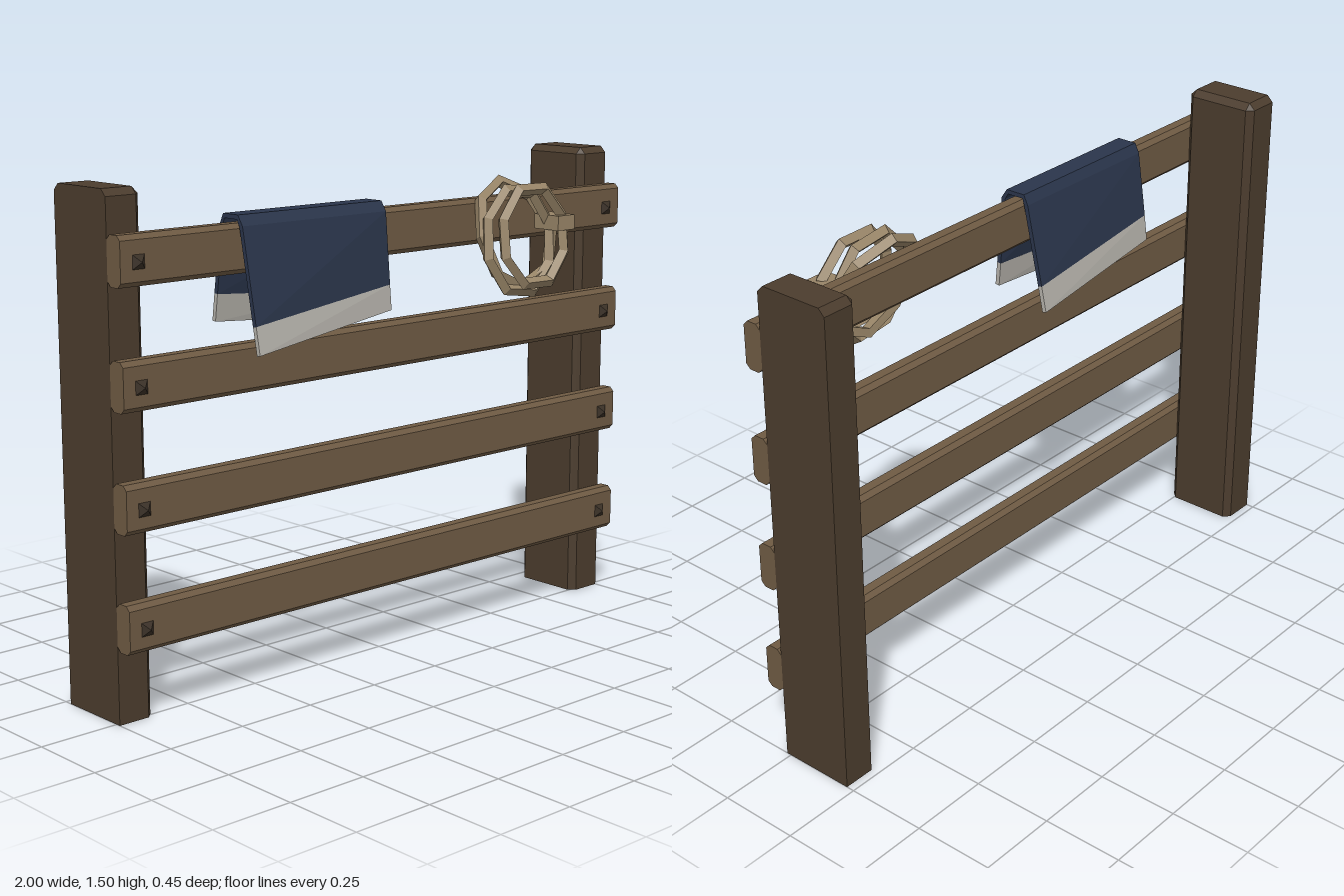
import * as THREE from 'three';
import { ConvexGeometry } from 'three/addons/geometries/ConvexGeometry.js';

const material = (name, color, side = THREE.FrontSide) =>
  new THREE.MeshStandardMaterial({ name, color, side });

function flat(geometry) {
  const g = geometry.index ? geometry.toNonIndexed() : geometry;
  g.computeVertexNormals();
  return g;
}

// Post with its inner vertical edges and top edges chamfered
function postGeometry(side) {
  const h = 0.12, c = 0.02, top = 1.5, zc = -0.105, pts = [];
  const add = (x, y, z) => pts.push(new THREE.Vector3(x * side, y, zc + z));
  for (const s of [-1, 1]) {
    for (const x of [1, 0.88 + c]) {
      add(x, 0, s * h);
      add(x, top - c, s * h);
      add(x, top, s * (h - c));
    }
    add(0.88, 0, s * (h - c));
    add(0.88, top - c, s * (h - c));
  }
  return new ConvexGeometry(pts);
}

// Rail with four chamfered long edges
function railGeometry(y, z) {
  const hy = 0.071, hz = 0.03, c = 0.014, pts = [];
  for (const x of [-1, 1]) for (const sy of [-1, 1]) for (const sz of [-1, 1]) {
    pts.push(new THREE.Vector3(x, y + sy * hy, z + sz * (hz - c)));
    pts.push(new THREE.Vector3(x, y + sy * (hy - c), z + sz * hz));
  }
  return new ConvexGeometry(pts);
}

// Thick cloth strip lofted between two [z, y] paths, one at each end
function clothGeometry(x0, path0, x1, path1, thickness) {
  const section = (path) => {
    const inner = path.map((p, i) => {
      const a = path[Math.max(i - 1, 0)], b = path[Math.min(i + 1, path.length - 1)];
      const dz = b[0] - a[0], dy = b[1] - a[1], l = Math.hypot(dz, dy);
      return [p[0] - dy / l * thickness, p[1] + dz / l * thickness];
    });
    return [path, inner];
  };
  const [o0, i0] = section(path0), [o1, i1] = section(path1);
  const pos = [];
  const quad = (xa, a, xb, b, xc, c, xd, d) => {
    const v = [[xa, a], [xb, b], [xc, c], [xa, a], [xc, c], [xd, d]];
    for (const [x, p] of v) pos.push(x, p[1], p[0]);
  };
  const n = path0.length;
  for (let i = 0; i < n - 1; i++) {
    quad(x0, o0[i], x1, o1[i], x1, o1[i + 1], x0, o0[i + 1]);
    quad(x1, i1[i], x0, i0[i], x0, i0[i + 1], x1, i1[i + 1]);
    quad(x1, o1[i], x1, i1[i], x1, i1[i + 1], x1, o1[i + 1]);
    quad(x0, i0[i], x0, o0[i], x0, o0[i + 1], x0, i0[i + 1]);
  }
  quad(x0, i0[0], x1, i1[0], x1, o1[0], x0, o0[0]);
  const e = n - 1;
  quad(x0, o0[e], x1, o1[e], x1, i1[e], x0, i0[e]);
  const g = new THREE.BufferGeometry();
  g.setAttribute('position', new THREE.Float32BufferAttribute(pos, 3));
  g.computeVertexNormals();
  return g;
}

// One coarse rope loop; depth(s) gives z for s from -1 (bottom) to 1 (top)
function ropeGeometry({ x, y, rx, ry, turn, sides, depth }) {
  const pts = [];
  for (let i = 0; i < sides; i++) {
    const a = Math.PI / 2 + turn + i / sides * Math.PI * 2;
    pts.push(new THREE.Vector3(x + rx * Math.cos(a), y + ry * Math.sin(a), depth(Math.sin(a))));
  }
  const curve = new THREE.CatmullRomCurve3(pts, true);
  return flat(new THREE.TubeGeometry(curve, sides, 0.02, 4, true));
}

export function createModel() {
  const postWood = material('dark post wood', 0x4b3c2d);
  const railWood = material('rail wood', 0x6e5a43);
  const iron = material('dark nail', 0x3a3026);
  const blue = material('blue cloth', 0x2a354b, THREE.DoubleSide);
  const pale = material('pale cloth border', 0xb4b1aa, THREE.DoubleSide);
  const rope = material('rope', 0x978467);

  const model = new THREE.Group();
  model.name = 'fence';
  const add = (name, geometry, mat, parent = model) => {
    const mesh = new THREE.Mesh(geometry, mat);
    mesh.name = name;
    parent.add(mesh);
    return mesh;
  };

  add('leftPost', postGeometry(1), postWood);
  add('rightPost', postGeometry(-1), postWood);

  // Rails with a pyramid nail at each end
  const nail = flat(new THREE.ConeGeometry(0.03, 0.018, 4).rotateY(Math.PI / 4).rotateX(Math.PI / 2));
  for (const y of [0.288, 0.629, 0.969, 1.31]) {
    add('rail', railGeometry(y, 0.045), railWood);
    for (const s of [-1, 1]) add('nail', nail, iron).position.set(s * 0.94, y - 0.003, 0.083);
  }

  // Blanket draped over the top rail, with a pale border on both flaps
  const blanket = new THREE.Group();
  blanket.name = 'blanket';
  model.add(blanket);
  const over = [[0.095, 1.375], [0.075, 1.405], [0.01, 1.405], [-0.005, 1.375]];
  const cloth = (name, a, b, mat) =>
    add(name, clothGeometry(-0.6, a, -0.06, b, 0.014), mat, blanket);
  cloth('blanketBody',
    [[0.149, 1.1], ...over, [-0.035, 1.175]],
    [[0.113, 1.16], ...over, [-0.06, 1.13]], blue);
  cloth('frontBorder', [[0.165, 1.02], [0.149, 1.1]], [[0.12, 1.085], [0.113, 1.16]], pale);
  cloth('backBorder', [[-0.035, 1.175], [-0.046, 1.095]], [[-0.06, 1.13], [-0.077, 1.05]], pale);

  // Rope coil: the rear loop hooks over the rail, the others hang in front
  const coil = new THREE.Group();
  coil.name = 'ropeCoil';
  model.add(coil);
  const loops = [
    { x: 0.455, y: 1.265, rx: 0.155, ry: 0.16, turn: 0, sides: 8,
      depth: (s) => 0.14 - 0.055 * s - 0.03 * s * s },
    { x: 0.44, y: 1.25, rx: 0.145, ry: 0.165, turn: 0.3, sides: 8,
      depth: (s) => 0.16 - 0.02 * s },
    { x: 0.475, y: 1.265, rx: 0.14, ry: 0.155, turn: 0.4, sides: 8,
      depth: (s) => 0.19 - 0.018 * s },
  ];
  for (const loop of loops) add('ropeLoop', ropeGeometry(loop), rope, coil);
  add('ropeTie', new THREE.BoxGeometry(0.075, 0.046, 0.1), rope, coil).position.set(0.597, 1.298, 0.163);

  return model;
}
